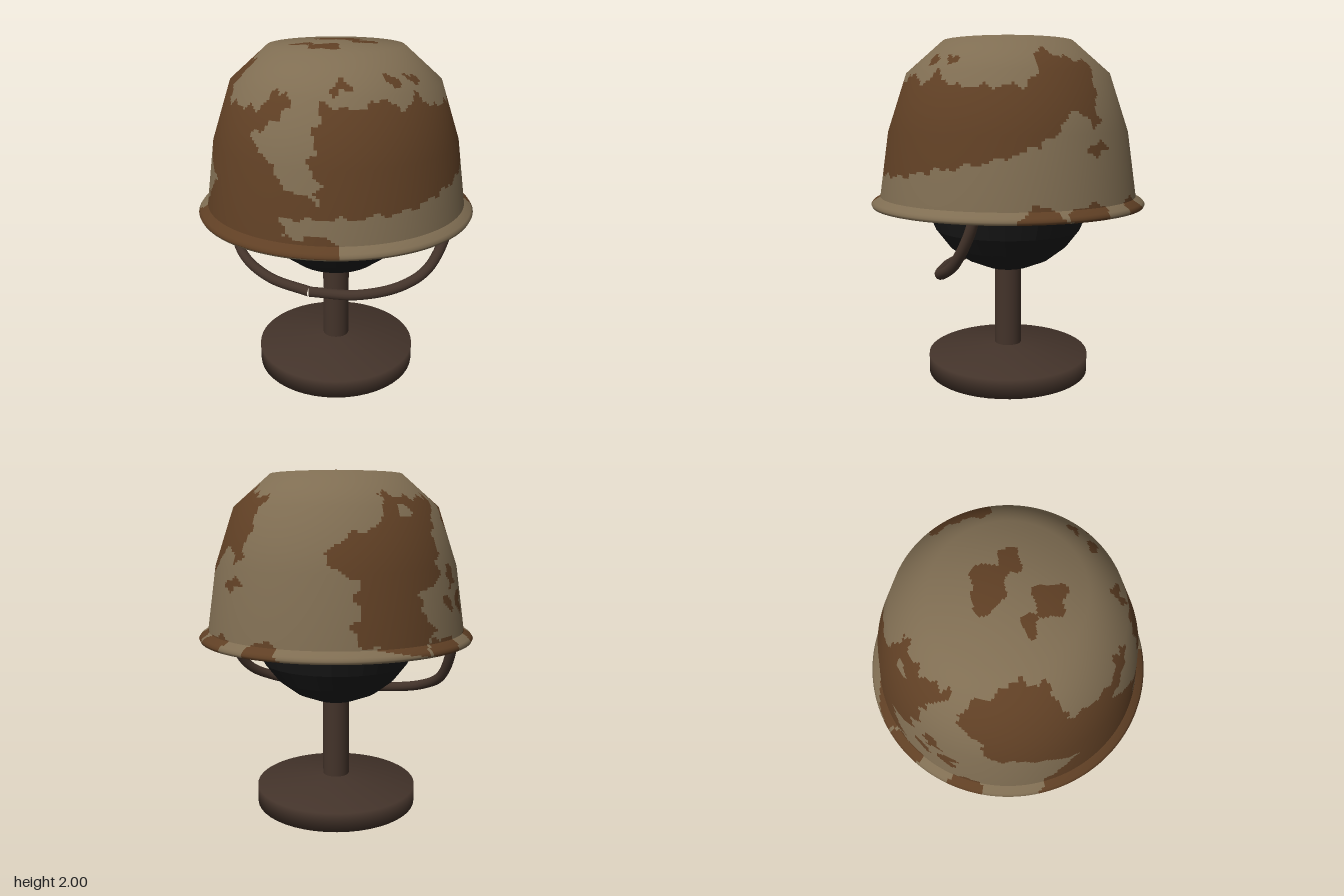
import * as THREE from 'three';

const mat = (name, color, extra = {}) => {
  const m = new THREE.MeshStandardMaterial({ color, ...extra });
  m.name = name;
  return m;
};

// Large camouflage sweeps on the wall: outlines of [degrees round from the front, height]
const frontSweep = [[-96, 1.8], [-67, 1.94], [-46, 1.89], [-43, 1.72], [-14, 1.71], [-10, 1.81], [0, 1.81],
  [-2, 1.69], [-18, 1.6], [-1, 1.4], [18, 1.29], [12, 1.5], [16, 1.77], [32, 1.73], [46, 1.79], [54, 1.7],
  [54, 1.235], [1, 1.21], [2, 1.12], [20, 1.13], [24, 1.04], [-60, 1.04], [-41, 1.3], [-59, 1.45], [-77, 1.47]];
const sideSweep = [[53, 1.7], [66, 1.78], [80, 1.7], [114, 1.71], [122, 1.9], [140, 1.85], [153, 1.84],
  [146, 1.48], [135, 1.59], [118, 1.42], [100, 1.34], [53, 1.235]];
const backSweep = [[-142, 1.86], [-119, 1.83], [-100, 1.86], [-111, 1.7], [-116, 1.41], [-131, 1.33],
  [-122, 1.16], [-130, 1.04], [-158, 1.1], [-157, 1.42], [-169, 1.5], [-168, 1.61], [-142, 1.71]];

// Small oval patches: [degrees, height, half width, half height]
const wallSpots = [[-105, 1.42, 4, 0.06], [-97, 1.28, 4, 0.07], [-110, 1.29, 4, 0.04], [143, 1.39, 6, 0.03],
  [24, 1.835, 6, 0.025], [54, 1.85, 4, 0.03], [71, 1.85, 5, 0.025]];
for (const deg of [116, 136, 165, -118, -88]) wallSpots.push([deg, 1.04, 9, 0.07]);
const backHole = [-131, 1.77, 4, 0.04];

// Crown patches: [x, z, half width, half depth]
const crownSpots = [[0, -0.1, 0.12, 0.09], [0.15, -0.05, 0.07, 0.06], [-0.11, -0.06, 0.06, 0.05],
  [0.02, 0.2, 0.09, 0.08], [-0.12, 0.16, 0.06, 0.04]];

const inOval = ([cu, cv, hu, hv], u, v) => ((u - cu) / hu) ** 2 + ((v - cv) / hv) ** 2 < 1;

function inOutline(poly, u, v) {
  let hit = false;
  for (let i = 0, j = poly.length - 1; i < poly.length; j = i++) {
    const [ui, vi] = poly[i], [uj, vj] = poly[j];
    if ((vi > v) !== (vj > v) && u < ((uj - ui) * (v - vi)) / (vj - vi) + ui) hit = !hit;
  }
  return hit;
}

function isBrown(deg, y, r) {
  if (r < 0.34) {
    const t = THREE.MathUtils.degToRad(deg), x = r * Math.sin(t), z = r * Math.cos(t);
    const u = x + 0.015 * Math.sin(z * 45), v = z + 0.02 * Math.sin(x * 40);
    return crownSpots.some((s) => inOval(s, u, v));
  }
  // uneven outlines, calm near the lower edge
  const u = deg + 1.6 * Math.sin(y * 42 + deg * 0.15) + 0.8 * Math.sin(y * 85);
  const v = y < 1.09 ? y : y + 0.012 * Math.sin(deg * 0.5 + y * 9) + 0.007 * Math.sin(deg * 0.93);
  if (inOval(backHole, u, v)) return false;
  return [frontSweep, sideSweep, backSweep].some((p) => inOutline(p, u, v)) || wallSpots.some((s) => inOval(s, u, v));
}

// Finely divided surface of revolution whose cells are sorted into two colour groups
function camoSurface(profile, step, sides) {
  const segNormals = profile.slice(1).map(([r, y], i) =>
    new THREE.Vector2(profile[i][1] - y, r - profile[i][0]).normalize());
  const normals = profile.map(([r], i) => {
    const a = segNormals[Math.max(i - 1, 0)], b = segNormals[Math.min(i, segNormals.length - 1)];
    return r === 0 ? new THREE.Vector2(0, Math.sign(a.y)) : a.clone().add(b).normalize();
  });
  const rows = [];
  for (let i = 0; i < profile.length - 1; i++) {
    const a = new THREE.Vector2(...profile[i]), b = new THREE.Vector2(...profile[i + 1]);
    const n = Math.ceil(a.distanceTo(b) / step);
    for (let k = i ? 1 : 0; k <= n; k++) {
      rows.push({ p: a.clone().lerp(b, k / n), n: normals[i].clone().lerp(normals[i + 1], k / n).normalize() });
    }
  }
  const pos = [], nor = [], tan = [], brown = [], w = sides + 1;
  rows.forEach(({ p, n }, i) => {
    for (let j = 0; j <= sides; j++) {
      const deg = -180 + (360 * j) / sides, t = THREE.MathUtils.degToRad(deg);
      const s = Math.sin(t), c = Math.cos(t);
      pos.push(p.x * s, p.y, p.x * c);
      nor.push(n.x * s, n.y, n.x * c);
      if (i === rows.length - 1 || j === sides) continue;
      const q = rows[i + 1].p, a = i * w + j, d = a + w;
      const list = isBrown(deg + 180 / sides, (p.y + q.y) / 2, (p.x + q.x) / 2) ? brown : tan;
      list.push(a, d, d + 1, a, d + 1, a + 1);
    }
  });
  const g = new THREE.BufferGeometry();
  g.setAttribute('position', new THREE.Float32BufferAttribute(pos, 3));
  g.setAttribute('normal', new THREE.Float32BufferAttribute(nor, 3));
  g.setIndex([...tan, ...brown]);
  g.addGroup(0, tan.length, 0);
  g.addGroup(tan.length, brown.length, 1);
  return g;
}

export function createModel() {
  const model = new THREE.Group();
  model.name = 'helmetOnStand';
  const camo = [mat('camoTan', 0x7f6d52), mat('camoBrown', 0x5f3f24)];
  const darkBrown = mat('darkBrown', 0x43332a);
  const black = mat('black', 0x1b1b1b, { flatShading: true });
  const add = (name, geometry, material) => {
    const m = new THREE.Mesh(geometry, material);
    m.name = name;
    model.add(m);
  };

  // Helmet: outer shell, flared rim and inner lining
  const shell = [[0, 2], [0.38, 1.975], [0.59, 1.79], [0.7, 1.46], [0.755, 1.08]];
  const rim = [[0.75, 1.09], [0.795, 1.062], [0.807, 1.045], [0.8, 1.03], [0.7, 1.03]];
  const lining = shell.map(([r, y]) => [r * 0.927, y - 0.05]).reverse();
  add('helmetShell', camoSurface(shell, 0.014, 240), camo);
  add('helmetRim', camoSurface(rim, 0.014, 240), camo);
  add('helmetLining', camoSurface(lining, 0.025, 160), camo);

  // Rounded head form inside the helmet
  add('headForm', new THREE.SphereGeometry(0.5, 32, 12).translate(0, 1.13, 0), black);

  // Stand: base disc with a sloping top, and post
  const base = [[0, 0], [0.485, 0], [0.485, 0.11], [0.07, 0.165]].map((p) => new THREE.Vector2(...p));
  add('standBase', new THREE.LatheGeometry(base, 48), darkBrown);
  add('standPost', new THREE.CylinderGeometry(0.08, 0.08, 0.52, 32).translate(0, 0.4, 0), darkBrown);

  // Chin strap: one half on each side, meeting at the front
  const strap = [[0.69, 1.12, 0], [0.688, 0.98, 0.03], [0.62, 0.785, 0.14], [0.5, 0.7, 0.245],
    [0.28, 0.645, 0.34], [0, 0.63, 0.385]];
  for (const [name, side] of [['chinStrapLeft', 1], ['chinStrapRight', -1]]) {
    const curve = new THREE.CatmullRomCurve3(strap.map(([x, y, z]) => new THREE.Vector3(side * x, y, z)));
    add(name, new THREE.TubeGeometry(curve, 40, 0.03, 12), darkBrown);
  }
  return model;
}
